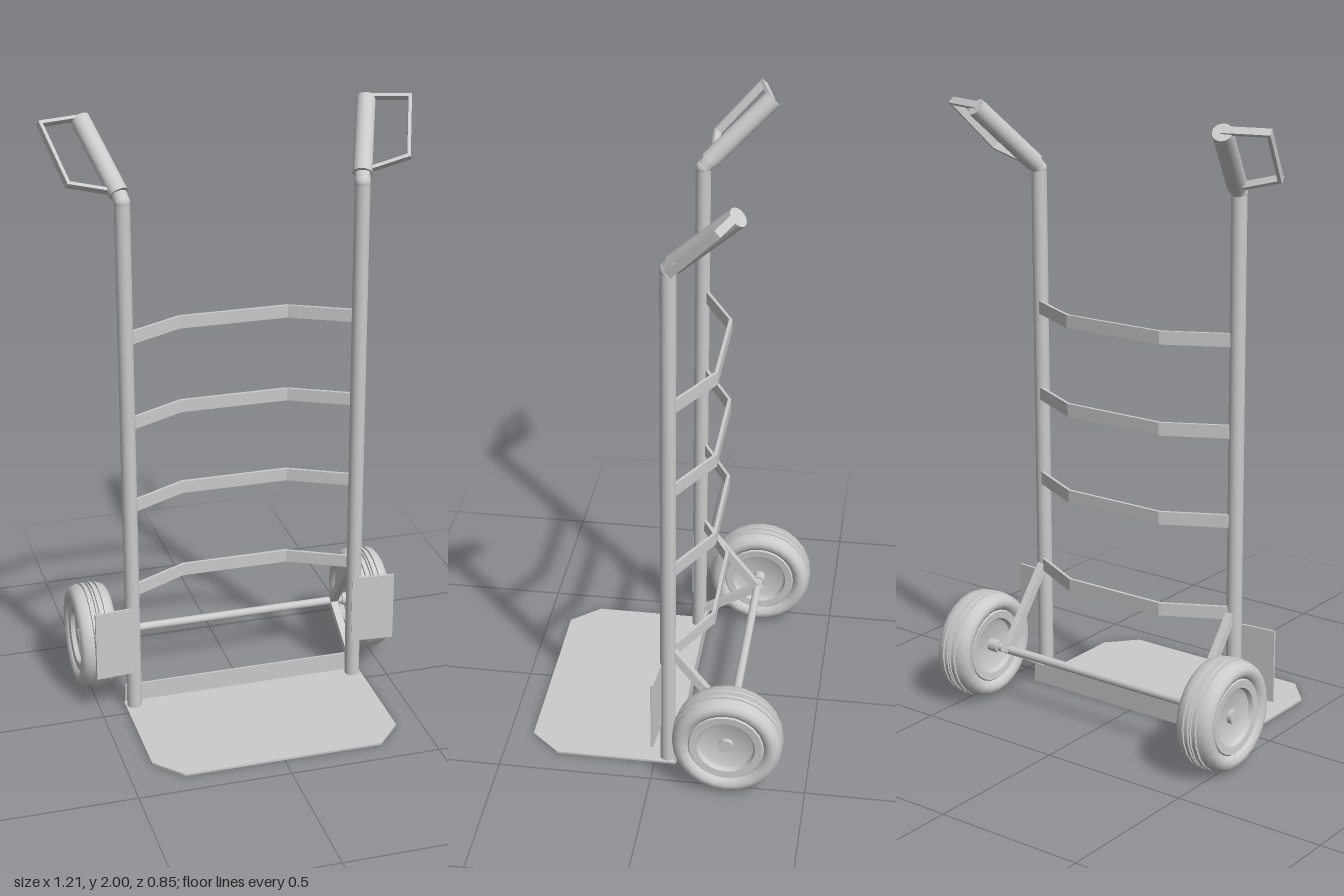
import * as THREE from 'three';
import { toCreasedNormals } from 'three/addons/utils/BufferGeometryUtils.js';

const V = (x, y, z) => new THREE.Vector3(x, y, z);

export function createModel() {
  const model = new THREE.Group();
  const material = new THREE.MeshStandardMaterial({ color: 0xcccccc });

  function add(name, geometry, parent = model) {
    const mesh = new THREE.Mesh(geometry, material);
    mesh.name = name;
    parent.add(mesh);
    return mesh;
  }

  // Round rod between two points
  function rod(name, a, b, r, parent, sides = 16) {
    const mesh = add(name, new THREE.CylinderGeometry(r, r, a.distanceTo(b), sides), parent);
    mesh.position.copy(a).lerp(b, 0.5);
    mesh.quaternion.setFromUnitVectors(V(0, 1, 0), b.clone().sub(a).normalize());
    return mesh;
  }

  // Flat bar between two points, its width lying along a given direction
  function bar(name, a, b, thickness, width, widthDir, parent) {
    const along = b.clone().sub(a).normalize();
    const across = V(0, 0, 0).crossVectors(along, widthDir).normalize();
    const w = V(0, 0, 0).crossVectors(across, along);
    const mesh = add(name, new THREE.BoxGeometry(thickness, a.distanceTo(b) + thickness, width), parent);
    mesh.position.copy(a).lerp(b, 0.5);
    mesh.quaternion.setFromRotationMatrix(new THREE.Matrix4().makeBasis(across, along, w));
    return mesh;
  }

  // Flat outline in x and z, raised by height from y
  function slab(name, outline, y, height) {
    const shape = new THREE.Shape(outline.map(([x, z]) => new THREE.Vector2(x, -z)));
    const geometry = new THREE.ExtrudeGeometry(shape, { depth: height, bevelEnabled: false });
    geometry.rotateX(-Math.PI / 2).translate(0, y, 0);
    return add(name, geometry);
  }

  // Toe plate with cut front corners, and its upright back lip
  slab('toePlate', [[-0.415, -0.07], [-0.415, 0.325], [-0.33, 0.42],
    [0.33, 0.42], [0.415, 0.325], [0.415, -0.07]], 0.002, 0.007);
  add('toePlateLip', new THREE.BoxGeometry(0.82, 0.07, 0.007)).position.set(0, 0.037, -0.068);

  // Rungs bowed to the back
  for (const y of [0.43, 0.735, 1.025, 1.315]) {
    slab('rung', [[-0.38, -0.05], [-0.18, -0.155], [0.18, -0.155], [0.38, -0.05],
      [0.38, -0.062], [0.18, -0.166], [-0.18, -0.166], [-0.38, -0.062]], y - 0.021, 0.042);
  }

  const axleY = 0.183, axleZ = -0.247;
  rod('axle', V(-0.53, axleY, axleZ), V(0.53, axleY, axleZ), 0.014);

  // Half of the wheel section: radius, distance from the middle plane
  const half = [[0, 0.032], [0.075, 0.032], [0.088, 0.038], [0.094, 0.052], [0.118, 0.054],
    [0.122, 0.049], [0.128, 0.057], [0.142, 0.065], [0.156, 0.063], [0.168, 0.053],
    [0.174, 0.038], [0.176, 0.027], [0.17, 0.026], [0.17, 0.021], [0.177, 0.02],
    [0.178, 0.008], [0.171, 0.007], [0.171, 0.003], [0.178, 0.002]];
  const section = [
    ...half.map(([r, a]) => new THREE.Vector2(r, -a)),
    ...half.slice().reverse().map(([r, a]) => new THREE.Vector2(r, a)),
  ];
  const wheelGeometry = toCreasedNormals(new THREE.LatheGeometry(section, 24), 0.7);
  wheelGeometry.rotateZ(-Math.PI / 2);

  for (const s of [1, -1]) {
    const side = s > 0 ? 'left' : 'right';
    const P = (x, y, z) => V(s * x, y, z);

    // Upright tube
    const bend = P(0.385, 1.765, -0.042);
    rod(side + 'Upright', P(0.385, 0.004, -0.04), bend, 0.025);
    const joint = add(side + 'UprightBend', new THREE.SphereGeometry(0.026, 16, 10));
    joint.position.copy(bend);

    // Leaning handle: neck, thick grip and knuckle guard
    const handle = new THREE.Group();
    handle.name = side + 'Handle';
    model.add(handle);
    const gripStart = P(0.39, 1.787, -0.06), gripEnd = P(0.464, 1.976, -0.251);
    rod('neck', bend, gripStart, 0.025, handle);
    rod('grip', gripStart, gripEnd, 0.031, handle);
    const guard = [P(0.464, 1.98, -0.245), P(0.597, 1.98, -0.208),
      P(0.545, 1.826, -0.066), P(0.405, 1.79, -0.072)];
    const normal = V(0, 0, 0).crossVectors(
      guard[1].clone().sub(guard[0]), guard[2].clone().sub(guard[1])).normalize();
    for (let i = 0; i < 3; i++) bar('knuckleGuard', guard[i], guard[i + 1], 0.011, 0.025, normal, handle);

    // Struts carrying the axle
    const hub = P(0.382, axleY, axleZ);
    bar(side + 'UpperStrut', P(0.382, 0.425, -0.055), hub, 0.026, 0.026, V(1, 0, 0));
    bar(side + 'LowerStrut', P(0.382, 0.07, -0.055), hub, 0.026, 0.026, V(1, 0, 0));

    // Guard plate in front of the wheel
    const plate = add(side + 'WheelGuard', new THREE.BoxGeometry(0.145, 0.24, 0.008));
    plate.position.copy(P(0.445, 0.265, -0.014));
    plate.rotation.y = -s * 0.09;

    // Wheel with hub cap and axle collar
    const wheel = new THREE.Group();
    wheel.name = side + 'Wheel';
    wheel.position.copy(P(0.484, axleY, axleZ));
    model.add(wheel);
    add('tireAndRim', wheelGeometry, wheel);
    rod('hubCap', P(0.03, 0, 0), P(0.047, 0, 0), 0.023, wheel);
    rod('axleCollar', P(-0.07, 0, 0), P(-0.03, 0, 0), 0.021, wheel);
  }

  return model;
}
